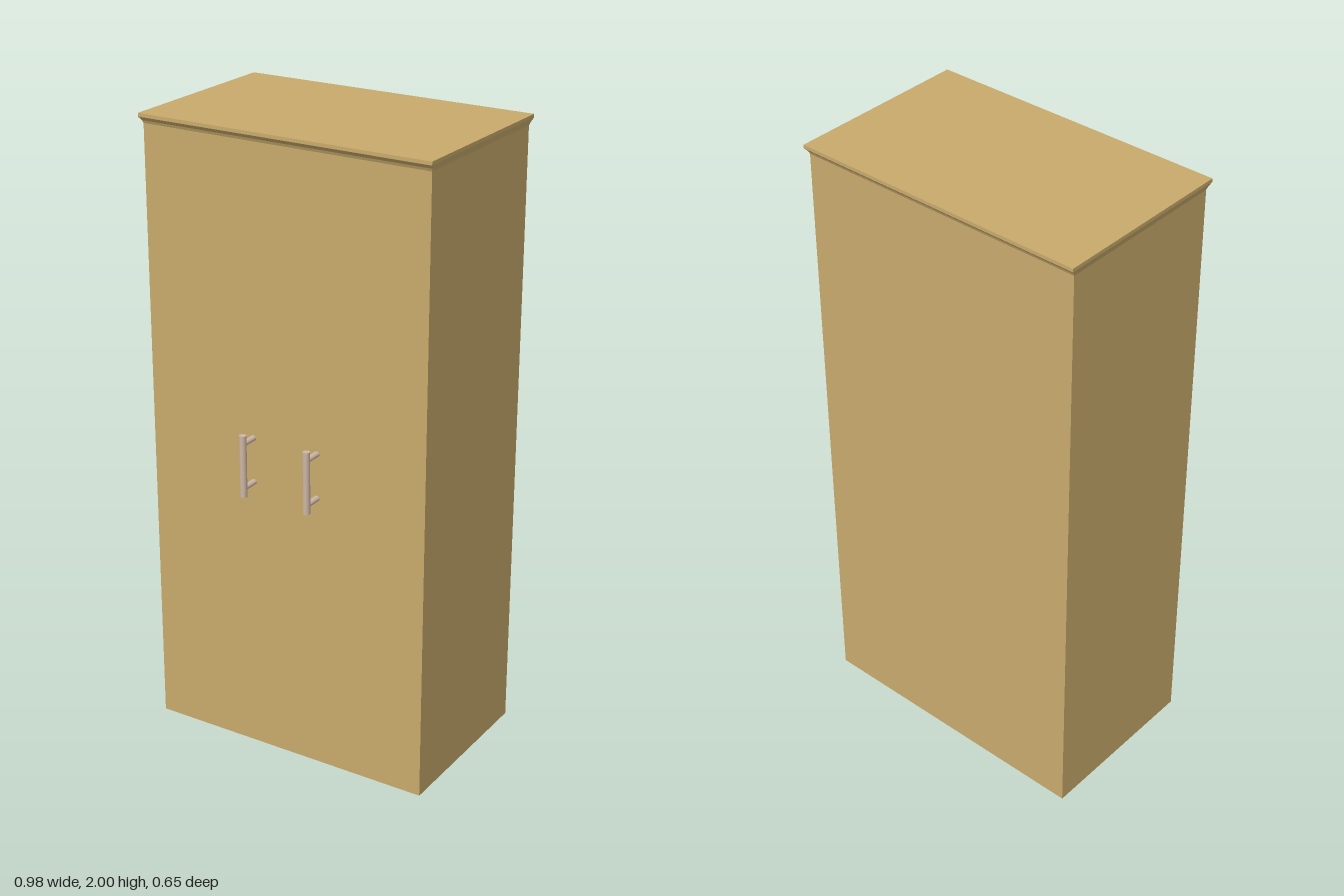
import * as THREE from 'three';

const wood = new THREE.MeshStandardMaterial({ color: 0xc8aa6c });
const metal = new THREE.MeshStandardMaterial({ color: 0xcdb5a3 });
const CENTER_Z = -0.026;

function addMesh(parent, name, geometry, material, x, y, z) {
  const mesh = new THREE.Mesh(geometry, material);
  mesh.name = name;
  mesh.position.set(x, y, z);
  parent.add(mesh);
  return mesh;
}

// Stacks rectangular sections [halfX, halfZ, y] into a closed, flat-shaded moulding
function rectLoft(sections) {
  const pos = [];
  const rings = sections.map(([w, d, y]) => [[-w, y, d], [w, y, d], [w, y, -d], [-w, y, -d]]);
  const quad = (a, b, c, d) => [a, b, c, a, c, d].forEach((p) => pos.push(...p));
  for (let i = 0; i < rings.length - 1; i++) {
    for (let k = 0; k < 4; k++) {
      const n = (k + 1) % 4;
      quad(rings[i][k], rings[i][n], rings[i + 1][n], rings[i + 1][k]);
    }
  }
  quad(...rings[rings.length - 1]);
  quad(...[...rings[0]].reverse());
  const geometry = new THREE.BufferGeometry();
  geometry.setAttribute('position', new THREE.Float32BufferAttribute(pos, 3));
  geometry.computeVertexNormals();
  return geometry;
}

// Vertical bar on two stand-off posts
function createHandle(name, x) {
  const handle = new THREE.Group();
  handle.name = name;
  handle.position.set(x, 0.985, 0);
  addMesh(handle, 'handleBar', new THREE.CylinderGeometry(0.011, 0.011, 0.2, 24), metal, 0, 0, 0.314);
  for (const y of [-0.072, 0.072]) {
    const post = addMesh(handle, 'handlePost', new THREE.CylinderGeometry(0.01, 0.01, 0.056, 20), metal, 0, y, 0.284);
    post.rotation.x = Math.PI / 2;
    post.scale.z = 0.85;
  }
  return handle;
}

export function createModel() {
  const group = new THREE.Group();
  group.name = 'wardrobe';

  // Plain cabinet box
  addMesh(group, 'cabinet', new THREE.BoxGeometry(0.96, 1.97, 0.568), wood, 0, 0.985, CENTER_Z);

  // Flared crown with a thin upright lip
  addMesh(group, 'crown', rectLoft([
    [0.48, 0.284, 1.968],
    [0.483, 0.288, 1.977],
    [0.488, 0.299, 1.989],
    [0.488, 0.299, 2.0],
  ]), wood, 0, 0, CENTER_Z);

  // Pair of door handles
  group.add(createHandle('leftHandle', 0.112), createHandle('rightHandle', -0.112));
  return group;
}
